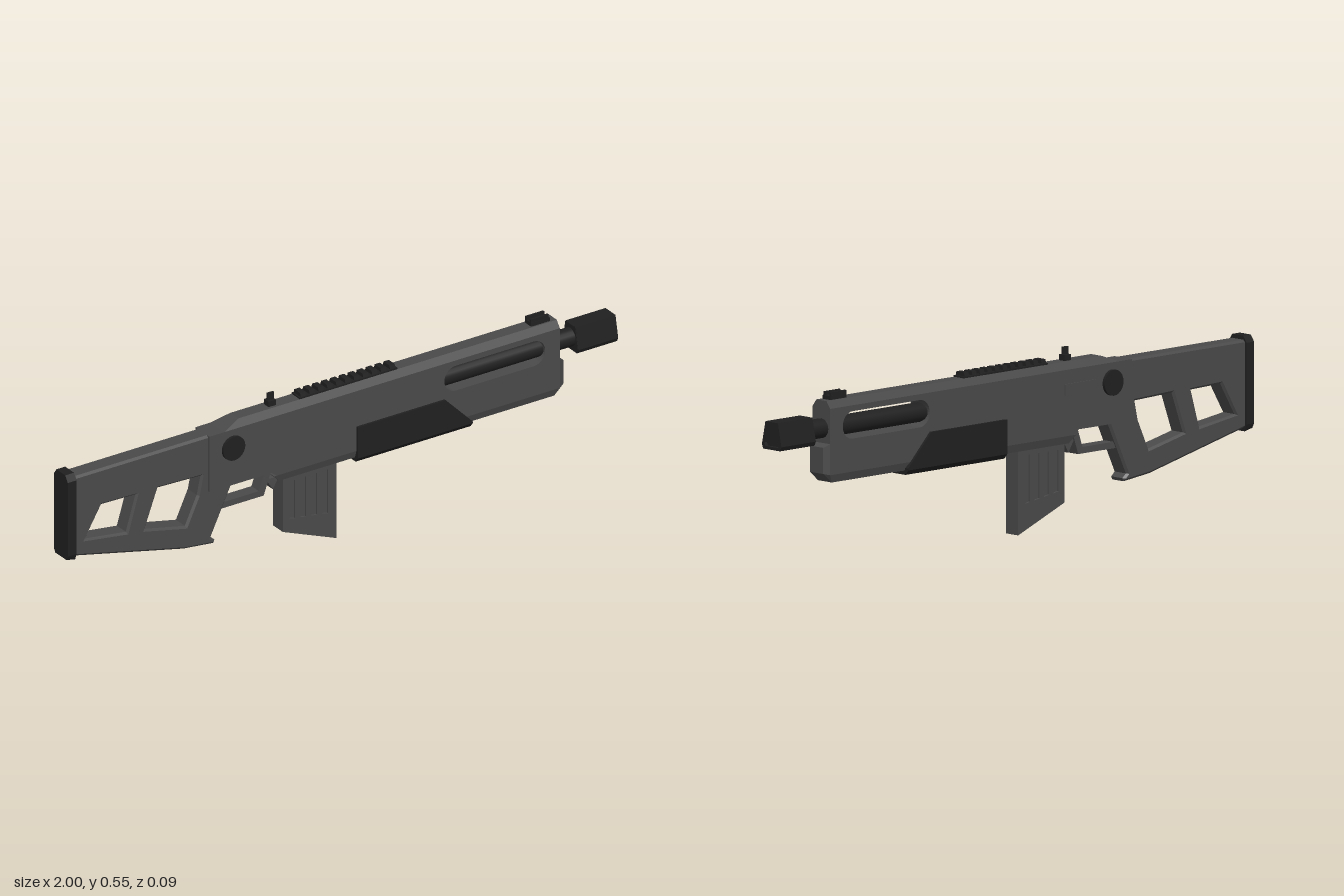
import * as THREE from 'three';
import { ConvexGeometry } from 'three/addons/geometries/ConvexGeometry.js';

const body = new THREE.MeshStandardMaterial({ name: 'grey body', color: 0x4a4a4a });
const dark = new THREE.MeshStandardMaterial({ name: 'black fittings', color: 0x202020 });

const outline = (pts) => pts.map(([x, y]) => new THREE.Vector2(x, y));

// Side profile extruded symmetrically about z = 0, optionally with chamfered edges
function slab(pts, width, holes = [], chamfer = 0) {
  const shape = new THREE.Shape(outline(pts));
  for (const h of holes) shape.holes.push(h instanceof THREE.Path ? h : new THREE.Path(outline(h)));
  const depth = width - 2 * chamfer;
  const g = new THREE.ExtrudeGeometry(shape, {
    depth, curveSegments: 8, bevelEnabled: chamfer > 0, bevelSegments: 1,
    bevelThickness: chamfer, bevelSize: chamfer, bevelOffset: -chamfer,
  });
  return g.translate(0, 0, -depth / 2);
}

// Convex solid from [x, y, half width] points mirrored across z
function hull(pts) {
  return new ConvexGeometry(pts.flatMap(([x, y, z]) => [new THREE.Vector3(x, y, z), new THREE.Vector3(x, y, -z)]));
}

function box(x0, x1, y0, y1, width, z = 0) {
  return new THREE.BoxGeometry(x1 - x0, y1 - y0, width).translate((x0 + x1) / 2, (y0 + y1) / 2, z);
}

function rod(r, x0, x1, y, sides = 20) {
  return new THREE.CylinderGeometry(r, r, x1 - x0, sides).rotateZ(Math.PI / 2).translate((x0 + x1) / 2, y, 0);
}

export function createModel() {
  const model = new THREE.Group();
  const add = (name, geometry, material) => {
    const m = new THREE.Mesh(geometry, material);
    m.name = name;
    model.add(m);
  };

  // Skeleton stock with grip
  add('stock', slab(
    [[-0.975, 0.22], [-0.57, 0.127], [-0.462, 0.115], [-0.457, 0.125], [-0.472, 0.138], [-0.39, 0.31],
      [-0.39, 0.488], [-0.975, 0.488]], 0.062,
    [[[-0.87, 0.365], [-0.745, 0.362], [-0.78, 0.245], [-0.93, 0.265]],
      [[-0.665, 0.362], [-0.508, 0.357], [-0.522, 0.295], [-0.565, 0.203], [-0.712, 0.235]]], 0.007), body);
  add('buttPad', hull([[-1, 0.215, 0.03], [-0.968, 0.208, 0.03], [-1, 0.23, 0.038], [-0.968, 0.23, 0.038],
    [-1, 0.48, 0.038], [-0.968, 0.48, 0.038], [-1, 0.5, 0.024], [-0.968, 0.5, 0.024]]), dark);

  // Receiver and fore end, with a rounded slot through the sides
  const slot = new THREE.Path();
  slot.absarc(0.412, 0.428, 0.042, Math.PI / 2, Math.PI * 1.5);
  slot.absarc(0.695, 0.428, 0.042, -Math.PI / 2, Math.PI / 2);
  add('receiver', slab([[-0.485, 0.3], [-0.26, 0.3], [-0.24, 0.285], [0.79, 0.285], [0.79, 0.488], [-0.485, 0.488]],
    0.076, [slot]), body);
  add('receiverTop', hull([[-0.43, 0.488, 0.038], [0.79, 0.488, 0.038], [-0.37, 0.51, 0.022], [0.79, 0.51, 0.022]]), body);
  add('receiverBottom', hull([[-0.25, 0.285, 0.038], [0.79, 0.285, 0.038], [-0.225, 0.26, 0.03], [0.775, 0.26, 0.03]]), body);
  add('nose', hull([[0.77, 0.285, 0.038], [0.79, 0.285, 0.038], [0.775, 0.26, 0.03], [0.81, 0.29, 0.028],
    [0.81, 0.37, 0.028], [0.79, 0.38, 0.038], [0.77, 0.38, 0.038]]), body);
  add('sidePort', box(-0.33, -0.2, 0.41, 0.445, 0.004, -0.039), body);

  // Pivot discs on both sides
  add('pivotDiscs', new THREE.CylinderGeometry(0.04, 0.04, 0.094, 24).rotateX(Math.PI / 2).translate(-0.4, 0.427, 0), dark);

  // Fore grip
  add('foreGrip', hull([[0.05, 0.368, 0.046], [0.37, 0.368, 0.046], [0.468, 0.268, 0.046], [0.05, 0.262, 0.046],
    [0.468, 0.262, 0.046], [0.05, 0.247, 0.034], [0.468, 0.247, 0.034]]), dark);

  // Trigger guard and trigger
  add('triggerGuard', slab([[-0.435, 0.22], [-0.275, 0.22], [-0.245, 0.305], [-0.27, 0.305], [-0.293, 0.24], [-0.43, 0.24]], 0.04), body);
  add('guardSpur', slab([[-0.265, 0.27], [-0.238, 0.228], [-0.218, 0.265]], 0.03), body);

  // Magazine with recessed vertical grooves in each side
  const mag = [[-0.21, 0.08], [-0.015, 0.003], [-0.015, 0.28], [-0.21, 0.28]];
  add('magazineCore', slab([[-0.205, 0.083], [-0.02, 0.01], [-0.02, 0.28], [-0.205, 0.28]], 0.04), body);
  const grooves = [];
  for (let i = 0; i < 4; i++) {
    const x = -0.185 + i * 0.04;
    const y = 0.118 - i * 0.006;
    grooves.push([[x, y], [x + 0.02, y - 0.004], [x + 0.02, 0.245], [x, 0.245]]);
  }
  add('magazineShell', slab(mag, 0.053, grooves), body);

  // Barrel and hollow muzzle
  add('barrel', rod(0.03, 0.33, 0.86, 0.425), dark);
  const section = [[-0.036, 0.383], [0.036, 0.383], [0.042, 0.396], [0.027, 0.468], [-0.027, 0.468], [-0.042, 0.396]];
  const bore = section.map(([z, y]) => [z * 0.76, 0.425 + (y - 0.425) * 0.78]);
  const shell = slab(section, 0.145, [bore]).rotateY(Math.PI / 2).translate(0.9275, 0, 0);
  add('muzzleShell', shell, dark);
  add('muzzleCore', slab(section, 0.135).rotateY(Math.PI / 2).scale(1, 0.99, 0.98).translate(0.921, 0.004, 0), dark);

  // Toothed top rail
  add('railBase', box(-0.145, 0.21, 0.505, 0.515, 0.044), dark);
  for (let i = 0; i < 11; i++) {
    const x = -0.14 + i * 0.0325;
    add('railTooth', hull([[x, 0.513, 0.02], [x + 0.019, 0.513, 0.02], [x, 0.527, 0.016], [x + 0.019, 0.527, 0.016]]), dark);
  }

  // Sights
  add('rearSightBase', box(-0.252, -0.225, 0.505, 0.528, 0.024), dark);
  add('rearSightPost', box(-0.25, -0.227, 0.525, 0.552, 0.006), dark);
  add('frontSightBase', box(0.7, 0.768, 0.505, 0.522, 0.034), dark);
  for (const s of [-1, 1]) add('frontSightEar', box(0.7, 0.765, 0.52, 0.533, 0.007, s * 0.012), dark);

  // Rest the magazine tip on the ground
  model.position.y = -0.003;
  return model;
}
